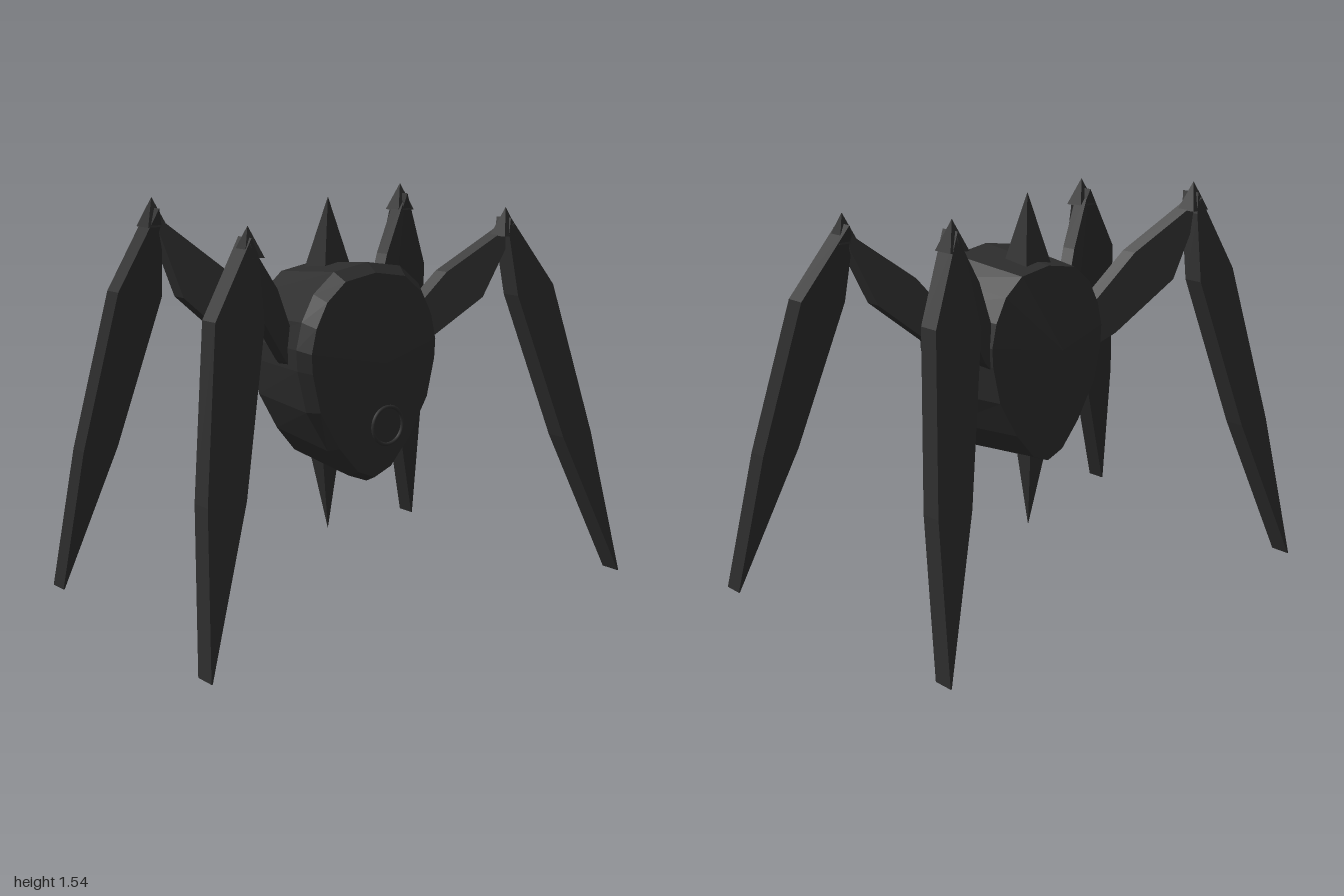
import * as THREE from 'three';

const charcoal = new THREE.MeshStandardMaterial({ color: 0x2c2c2c });
charcoal.name = 'charcoal';

function addMesh(parent, name, geometry) {
  const mesh = new THREE.Mesh(geometry, charcoal);
  mesh.name = name;
  parent.add(mesh);
  return mesh;
}

// Egg-shaped shell: rings joined along z, closed by shallow points at both ends
function bodyGeometry() {
  const half = [[0.16, 1.275], [0.255, 1.2], [0.31, 1.1], [0.335, 1.0], [0.33, 0.92],
    [0.29, 0.76], [0.19, 0.6], [0.09, 0.49]];
  const outline = [[0, 1.3], ...half.map(([x, y]) => [-x, y]), [0, 0.455], ...[...half].reverse()];
  const ring = (z, sx, sy, cy) => outline.map(([x, y]) => [x * sx, cy + (y - 0.8775) * sy, z]);
  const rings = [ring(0.27, 0.9, 0.93, 0.872), ring(0.22, 1, 1, 0.8775), ring(-0.14, 0.85, 0.917, 0.8775)];
  const front = [0, 0.93, 0.335], back = [0, 0.95, -0.22];
  const v = [];
  const n = outline.length;
  for (let i = 0; i < n; i++) {
    const j = (i + 1) % n;
    v.push(...front, ...rings[0][i], ...rings[0][j]);
    for (let r = 0; r < 2; r++) {
      const a = rings[r], b = rings[r + 1];
      v.push(...a[i], ...b[i], ...b[j], ...a[i], ...b[j], ...a[j]);
    }
    v.push(...back, ...rings[2][j], ...rings[2][i]);
  }
  const g = new THREE.BufferGeometry();
  g.setAttribute('position', new THREE.Float32BufferAttribute(v, 3));
  g.computeVertexNormals();
  return g;
}

// Flat blade cut from an xy profile, then sheared in z by a rule
function bladeGeometry(points, side, depth, zRule) {
  const shape = new THREE.Shape(points.map(([x, y]) => new THREE.Vector2(side * x, y)));
  const g = new THREE.ExtrudeGeometry(shape, { depth, bevelEnabled: false });
  const p = g.attributes.position;
  for (let i = 0; i < p.count; i++) {
    p.setZ(i, p.getZ(i) - depth / 2 + zRule(Math.abs(p.getX(i)), p.getY(i)));
  }
  g.computeVertexNormals();
  return g;
}

// Four-sided spike with its base square to the axes
function spikeGeometry(halfWidth, height) {
  const g = new THREE.ConeGeometry(halfWidth * Math.SQRT2, height, 4).rotateY(Math.PI / 4).toNonIndexed();
  g.computeVertexNormals();
  return g;
}

const legs = {
  front: {
    end: 1, knee: [0.617, 1.38, 0.32],
    thigh: [[0.63, 1.42], [0.41, 1.23], [0.27, 1.03], [0.27, 0.9], [0.34, 0.95], [0.53, 1.13], [0.61, 1.34]],
    shin: [[0.62, 1.44], [0.81, 1.17], [0.93, 0.57], [1, 0], [0.995, 0], [0.77, 0.57], [0.61, 1.14], [0.6, 1.38]],
  },
  back: {
    end: -1, knee: [0.612, 1.44, -0.31],
    thigh: [[0.62, 1.48], [0.4, 1.27], [0.27, 1.08], [0.27, 0.9], [0.34, 0.95], [0.53, 1.16], [0.6, 1.4]],
    shin: [[0.61, 1.5], [0.76, 1.19], [0.86, 0.57], [0.908, 0], [0.903, 0], [0.71, 0.57], [0.565, 1.16], [0.59, 1.42]],
  },
};

export function createModel() {
  const model = new THREE.Group();
  model.name = 'fourLeggedWalker';

  addMesh(model, 'body', bodyGeometry());

  // Ring floating before the lower face
  addMesh(model, 'frontRing', new THREE.TorusGeometry(0.072, 0.007, 8, 32)).position.set(0, 0.695, 0.345);

  // Spikes above and below the body
  addMesh(model, 'topSpike', spikeGeometry(0.07, 0.3)).position.set(0, 1.38, -0.02);
  const lower = addMesh(model, 'bottomSpike', spikeGeometry(0.044, 0.34));
  lower.position.set(0.01, 0.37, -0.045);
  lower.rotation.z = Math.PI + 0.05;

  // Four legs: a thigh rising to the knee and a long shin down to the ground
  for (const [name, leg] of Object.entries(legs)) {
    for (const side of [1, -1]) {
      const group = new THREE.Group();
      group.name = name + (side > 0 ? 'LeftLeg' : 'RightLeg');
      const [kx, ky, kz] = leg.knee;
      addMesh(group, 'thigh', bladeGeometry(leg.thigh, side, 0.065,
        (x) => leg.end * (0.105 + (x - 0.3) * 0.67)));
      addMesh(group, 'shin', bladeGeometry(leg.shin, side, 0.08,
        (x, y) => kz + leg.end * (1 - y / ky) * (0.59 - Math.abs(kz))));
      addMesh(group, 'kneeCap', spikeGeometry(0.042, 0.11)).position.set(side * kx, ky + 0.045, kz);
      model.add(group);
    }
  }
  return model;
}
